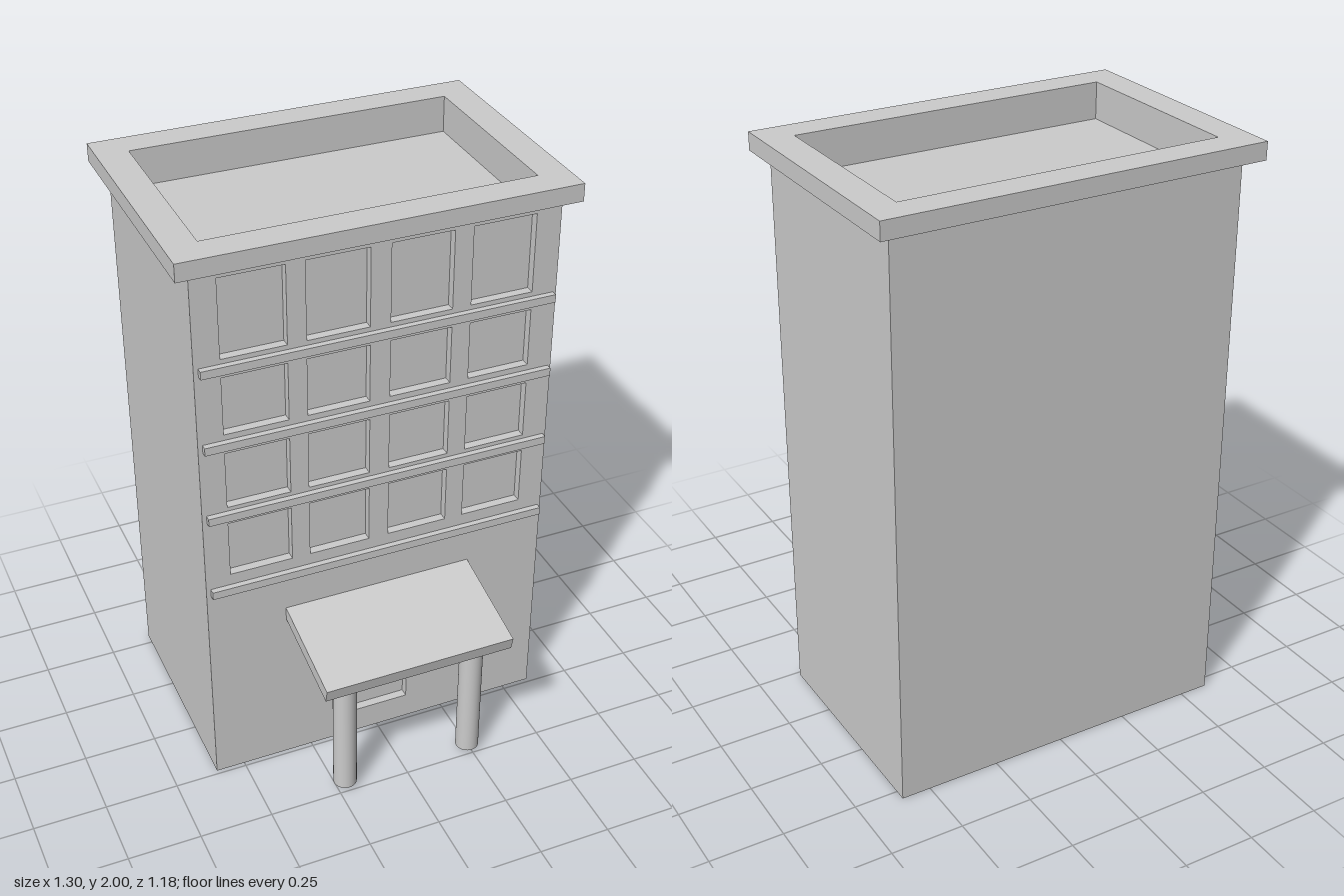
import * as THREE from 'three';

const material = new THREE.MeshStandardMaterial({ color: 0xcccccc });
const FRONT = 0.235, BACK = -0.54, REVEAL = 0.03;

function add(parent, name, geometry, x = 0, y = 0, z = 0) {
  const mesh = new THREE.Mesh(geometry, material);
  mesh.name = name;
  mesh.position.set(x, y, z);
  parent.add(mesh);
  return mesh;
}

// Box given by its limits on each axis
function addBox(parent, name, [x0, x1], [y0, y1], [z0, z1]) {
  return add(parent, name, new THREE.BoxGeometry(x1 - x0, y1 - y0, z1 - z0),
    (x0 + x1) / 2, (y0 + y1) / 2, (z0 + z1) / 2);
}

function rectangle(PathType, x0, x1, y0, y1) {
  return new PathType([[x0, y0], [x1, y0], [x1, y1], [x0, y1]].map(p => new THREE.Vector2(...p)));
}

function extrude(shape, depth) {
  return new THREE.ExtrudeGeometry(shape, { depth, bevelEnabled: false });
}

// Horizontal rectangular ring around the roof well
function addRoofRing(parent, name, halfWidth, z0, z1, y0, y1) {
  const shape = rectangle(THREE.Shape, -halfWidth, halfWidth, -z1, -z0);
  shape.holes.push(rectangle(THREE.Path, -0.545, 0.545, -0.17, 0.485));
  const geometry = extrude(shape, y1 - y0).rotateX(-Math.PI / 2);
  return add(parent, name, geometry, 0, y0, 0);
}

export function createModel() {
  const model = new THREE.Group();
  model.name = 'building';

  // Main block; its front is the back of the window and door recesses
  const roofFloor = 1.875;
  addBox(model, 'mainBlock', [-0.6, 0.6], [0, roofFloor], [BACK, FRONT - REVEAL]);
  addRoofRing(model, 'parapetWall', 0.6, BACK, FRONT - REVEAL, roofFloor, 1.94);
  addRoofRing(model, 'cornice', 0.65, -0.59, 0.275, 1.94, 2);

  // Facade with window and door openings
  const facade = rectangle(THREE.Shape, -0.6, 0.6, 0, 1.94);
  const columns = [[-0.516, -0.304], [-0.242, -0.035], [0.033, 0.24], [0.303, 0.515]];
  const rows = [[0.836, 1.037], [1.1, 1.302], [1.371, 1.573], [1.637, 1.907]];
  for (const [y0, y1] of rows) {
    for (const [x0, x1] of columns) facade.holes.push(rectangle(THREE.Path, x0, x1, y0, y1));
  }
  facade.holes.push(rectangle(THREE.Path, -0.115, 0.112, 0.095, 0.423));
  add(model, 'facade', extrude(facade, REVEAL), 0, 0, FRONT - REVEAL);

  // Ledges below the window rows
  for (const y of [0.781, 1.072, 1.337, 1.607]) {
    addBox(model, 'ledge', [-0.585, 0.59], [y - 0.014, y + 0.014], [FRONT - 0.01, 0.255]);
  }

  // Sloping entrance canopy, profile drawn in z and y
  const profile = new THREE.Shape([[0.22, 0.593], [0.575, 0.511], [0.586, 0.558], [0.22, 0.641]]
    .map(p => new THREE.Vector2(...p)));
  add(model, 'canopy', extrude(profile, 0.662).rotateY(-Math.PI / 2), 0.331, 0, 0);

  // Canopy posts
  for (const x of [-0.219, 0.242]) {
    add(model, 'canopyPost', new THREE.CylinderGeometry(0.04, 0.04, 0.53, 32), x, 0.285, 0.465);
  }
  return model;
}
